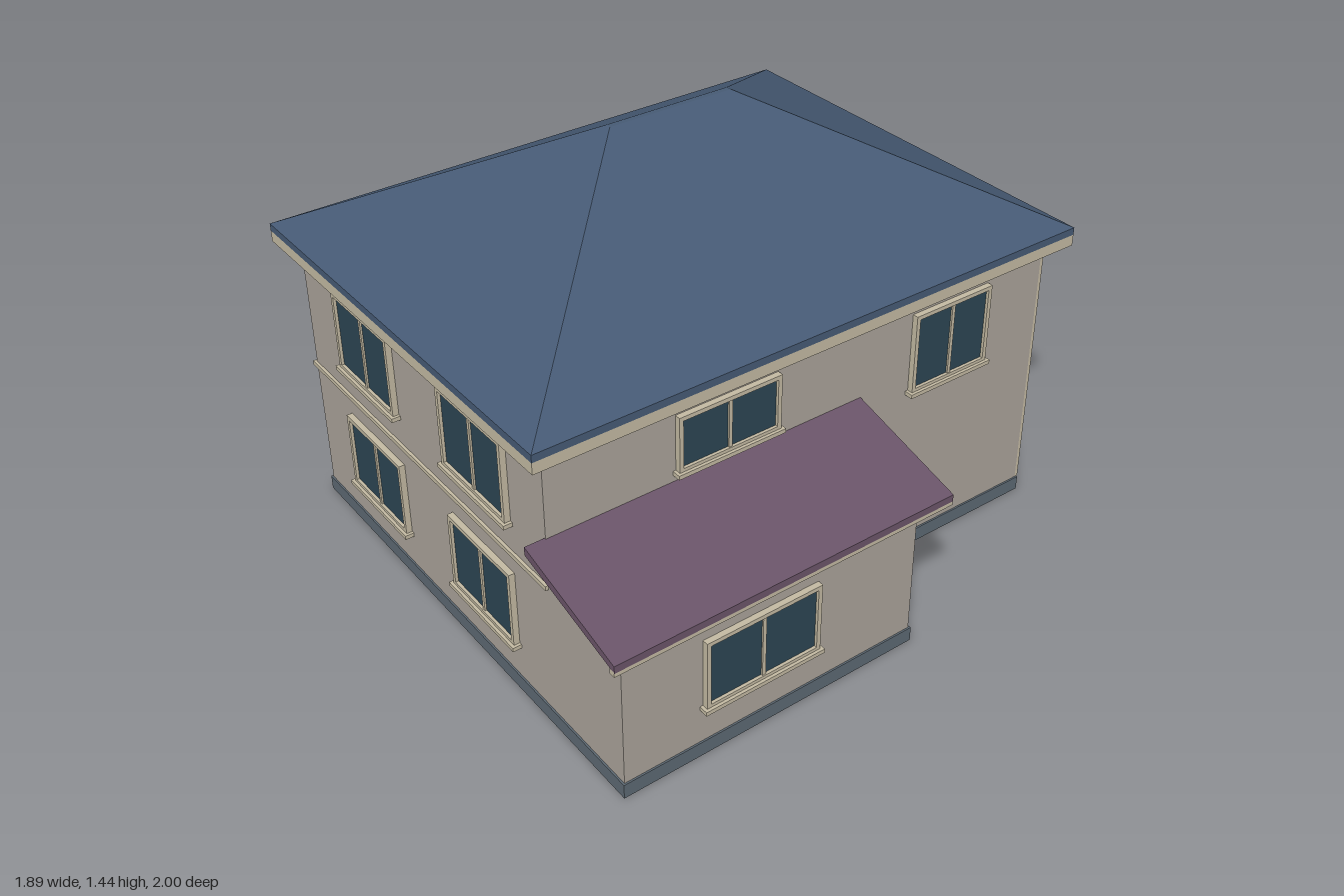
import * as THREE from 'three';

const paint = (color) => new THREE.MeshStandardMaterial({ color, flatShading: true });
const WALL = paint(0xa9a299), TRIM = paint(0xc2b9a2), ROOF = paint(0x465a74), GLASS = paint(0x2c4553);
const PORCH = paint(0x6a5468), WOOD = paint(0xb07d4a), BASE = paint(0x5c6872), DARK = paint(0x2a3a44);

// Box given by its min and max on each axis
function box(parent, name, mat, x0, x1, y0, y1, z0, z1) {
  const mesh = new THREE.Mesh(new THREE.BoxGeometry(x1 - x0, y1 - y0, z1 - z0), mat);
  mesh.position.set((x0 + x1) / 2, (y0 + y1) / 2, (z0 + z1) / 2);
  mesh.name = name;
  parent.add(mesh);
  return mesh;
}

function rect(path, x0, x1, y0, y1) {
  path.moveTo(x0, y0).lineTo(x1, y0).lineTo(x1, y1).lineTo(x0, y1).closePath();
  return path;
}

function extrude(parent, name, mat, shape, depth) {
  const mesh = new THREE.Mesh(new THREE.ExtrudeGeometry(shape, { depth, bevelEnabled: false }), mat);
  mesh.name = name;
  parent.add(mesh);
  return mesh;
}

// Two-pane window facing +z with its wall at z = 0; y is measured from the ground
function makeWindow(w, y0, y1, boarded) {
  const g = new THREE.Group(), h = w / 2, f = 0.014;
  g.name = 'window';
  const shape = rect(new THREE.Shape(), -h, h, y0, y1);
  shape.holes.push(rect(new THREE.Path(), -h + f, h - f, y0 + f, y1 - f));
  extrude(g, 'windowFrame', TRIM, shape, 0.02);
  box(g, 'pane', GLASS, -h + f, 0, y0 + f, y1 - f, -0.005, 0.01);
  box(g, 'pane', boarded ? WOOD : GLASS, 0, h - f, y0 + f, y1 - f, -0.005, 0.01);
  box(g, 'mullion', TRIM, -0.006, 0.006, y0 + f, y1 - f, 0, 0.016);
  box(g, 'windowSill', TRIM, -h - 0.01, h + 0.01, y0 - 0.011, y0 + 0.003, 0, 0.03);
  return g;
}

// Panelled back door, facing +z with its wall at z = 0
function makeDoor() {
  const g = new THREE.Group();
  g.name = 'door';
  const frame = rect(new THREE.Shape(), -0.14, 0.14, 0.005, 0.445);
  frame.holes.push(rect(new THREE.Path(), -0.115, 0.115, 0.012, 0.42));
  extrude(g, 'doorFrame', WOOD, frame, 0.024);
  const leaf = rect(new THREE.Shape(), -0.115, 0.115, 0.012, 0.42);
  for (const [y0, y1] of [[0.045, 0.2], [0.225, 0.385]]) {
    leaf.holes.push(rect(new THREE.Path(), -0.085, 0.085, y0, y1));
    box(g, 'doorPanel', WOOD, -0.085, 0.085, y0, y1, 0, 0.011);
  }
  extrude(g, 'doorLeaf', DARK, leaf, 0.016);
  box(g, 'doorHandle', TRIM, 0.095, 0.105, 0.19, 0.23, 0.016, 0.024);
  return g;
}

// Hip roof lofted through rectangles [x half, z half, y]
function hipRoof(sections) {
  const pos = [], idx = [];
  for (const [hx, hz, y] of sections) pos.push(-hx, y, hz, hx, y, hz, hx, y, -hz, -hx, y, -hz);
  for (let s = 0; s < sections.length - 1; s++) {
    for (let i = 0; i < 4; i++) {
      const a = s * 4 + i, b = s * 4 + (i + 1) % 4;
      idx.push(a, b, b + 4, a, b + 4, a + 4);
    }
  }
  const t = (sections.length - 1) * 4;
  idx.push(t, t + 1, t + 2, t, t + 2, t + 3, 0, 2, 1, 0, 3, 2);
  const geo = new THREE.BufferGeometry();
  geo.setAttribute('position', new THREE.Float32BufferAttribute(pos, 3));
  geo.setIndex(idx);
  const flat = geo.toNonIndexed();
  flat.computeVertexNormals();
  return flat;
}

export function createModel() {
  const house = new THREE.Group();
  house.name = 'house';
  const L = -0.88, R = 0.53, F = 0.935, B = -0.935, AX = 0.875, AB = -0.12, o = 0.006;

  // Walls and plinths
  box(house, 'mainWalls', WALL, L, R, 0.05, 0.97, B, F);
  box(house, 'mainPlinth', BASE, L - o, R + o, 0, 0.05, B - o, F + o);
  box(house, 'annexWalls', WALL, R, AX, 0.05, 0.552, AB, F);
  box(house, 'annexPlinth', BASE, R + o, AX + o, 0, 0.05, AB - o, F + o);

  // Floor band on front, left and back
  box(house, 'floorBandFront', TRIM, L - 0.01, R, 0.508, 0.523, F, F + 0.01);
  box(house, 'floorBandSide', TRIM, L - 0.01, L, 0.508, 0.523, B, F);
  box(house, 'floorBandBack', TRIM, L - 0.01, R, 0.508, 0.523, B - 0.01, B);

  // Corner boards at the back
  for (const x of [L, R - 0.03]) box(house, 'cornerBoard', TRIM, x, x + 0.03, 0.05, 0.965, B - 0.012, B);

  // Main roof
  box(house, 'eaves', TRIM, -0.945, 0.595, 0.967, 1.005, -1, 1);
  const roof = new THREE.Mesh(hipRoof([[0.77, 1, 1.005], [0.77, 1, 1.03], [0.01, 0.225, 1.437]]), ROOF);
  roof.name = 'hipRoof';
  roof.position.x = -0.175;
  house.add(roof);

  // Lean-to roof over the annex
  const slope = new THREE.Shape();
  slope.moveTo(0.525, 0.658).lineTo(0.945, 0.546).lineTo(0.945, 0.57).lineTo(0.525, 0.686).closePath();
  extrude(house, 'leanToRoof', PORCH, slope, 1.19).position.z = -0.19;
  box(house, 'leanToFascia', TRIM, 0.922, 0.944, 0.532, 0.55, -0.19, 1);

  // Openings, placed by wall
  const place = (part, x, z, turn) => {
    part.position.set(x, 0, z);
    part.rotation.y = turn;
    house.add(part);
  };
  const up = [0.628, 0.905], low = [0.177, 0.442];
  for (const [y0, y1] of [up, low]) {
    for (const x of [-0.475, 0.17]) place(makeWindow(0.35, y0, y1), x, F, 0);
    for (const z of [-0.475, 0.5]) place(makeWindow(0.34, y0, y1), L, z, -Math.PI / 2);
  }
  place(makeWindow(0.365, 0.718, 0.908), R, 0.318, Math.PI / 2);
  place(makeWindow(0.315, 0.628, 0.905), R, -0.545, Math.PI / 2);
  place(makeWindow(0.41, 0.182, 0.425), AX, 0.46, Math.PI / 2);
  place(makeWindow(0.22, 0.177, 0.437), 0.7, AB, Math.PI);
  place(makeWindow(0.33, 0.628, 0.905, true), 0.205, B, Math.PI);
  place(makeWindow(0.45, 0.628, 0.905), -0.475, B, Math.PI);
  place(makeWindow(0.45, 0.2, 0.442, true), -0.475, B, Math.PI);
  place(makeDoor(), 0.208, B, Math.PI);

  return house;
}
